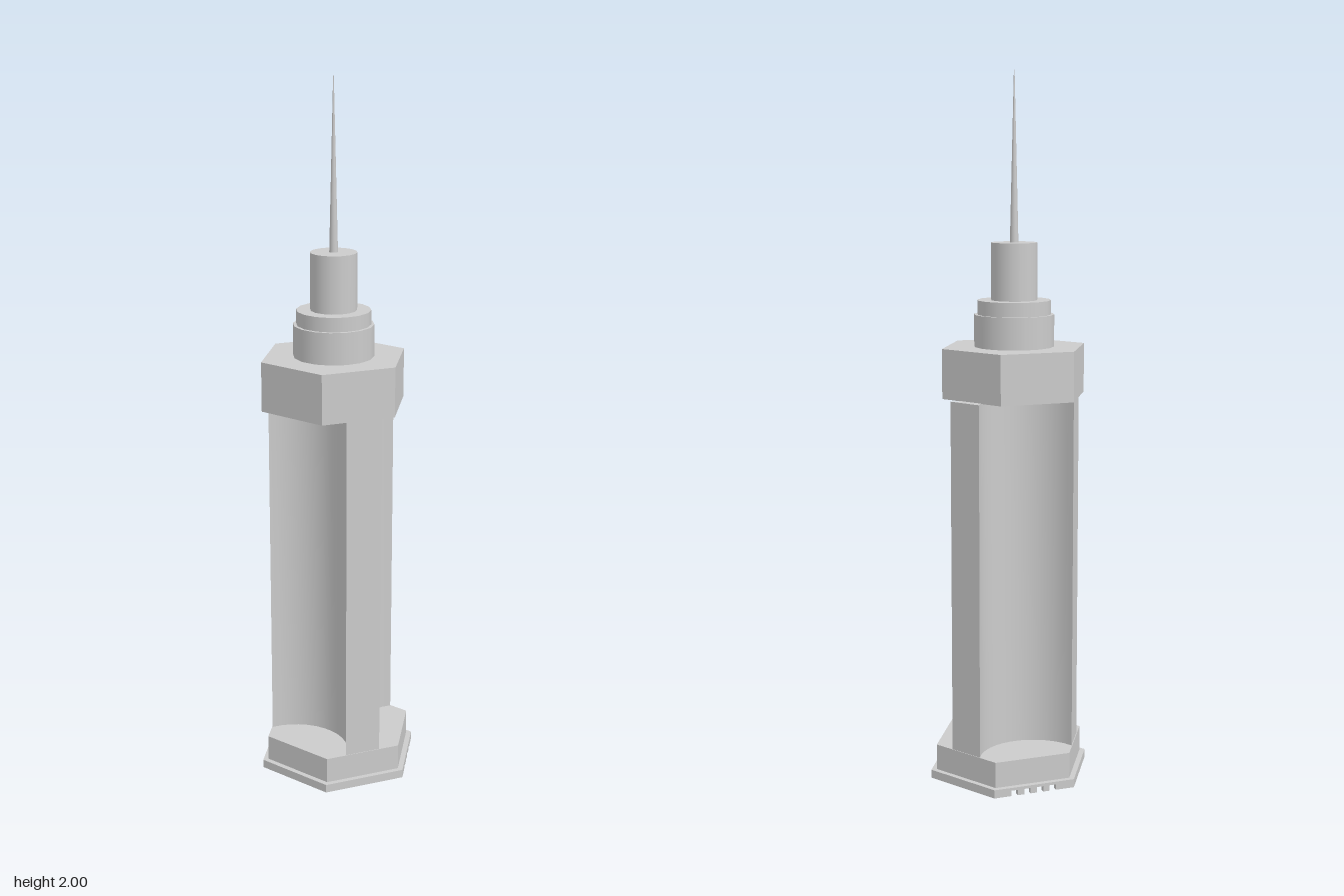
import * as THREE from 'three';
import { toCreasedNormals } from 'three/addons/utils/BufferGeometryUtils.js';

const material = new THREE.MeshStandardMaterial({ color: 0xcccccc });
const UPPER_Z = 0.021; // the crown sits slightly forward of the base

function add(parent, name, geometry, x = 0, y = 0, z = 0) {
  const mesh = new THREE.Mesh(geometry, material);
  mesh.name = name;
  mesh.position.set(x, y, z);
  parent.add(mesh);
  return mesh;
}

// Hexagon with corners on the x axis
function hexPoints(radius) {
  return Array.from({ length: 6 }, (_, i) => {
    const a = (i * Math.PI) / 3;
    return new THREE.Vector2(radius * Math.cos(a), radius * Math.sin(a));
  });
}

// Extrudes a plan shape (shape y = -z) upwards from y0 to y1
function raise(shape, y0, y1) {
  const g = new THREE.ExtrudeGeometry(shape, { depth: y1 - y0, bevelEnabled: false });
  g.rotateX(-Math.PI / 2);
  g.translate(0, y0, 0);
  return toCreasedNormals(g, 0.45);
}

function hexPrism(radius, y0, y1, holeRadius = 0) {
  const shape = new THREE.Shape(hexPoints(radius));
  if (holeRadius) shape.holes.push(new THREE.Path(hexPoints(holeRadius).reverse()));
  return raise(shape, y0, y1);
}

// Three-winged plan: a concave arc between each pair of flat wing ends
function shaftShape() {
  const half = 0.139, edge = 0.14, deep = 0.05, steps = 13;
  const sag = edge - deep;
  const r = (half * half + sag * sag) / (2 * sag);
  const sweep = Math.asin(half / r);
  const points = [];
  for (let k = 0; k < 3; k++) {
    for (let i = 0; i <= steps; i++) {
      const a = sweep * ((2 * i) / steps - 1);
      const p = new THREE.Vector2(r * Math.sin(a), -(deep + r - r * Math.cos(a)));
      points.push(p.rotateAround(new THREE.Vector2(), (k * 2 * Math.PI) / 3));
    }
  }
  return new THREE.Shape(points);
}

function drum(parent, name, radiusTop, radiusBottom, y0, y1, sides = 16) {
  const g = new THREE.CylinderGeometry(radiusTop, radiusBottom, y1 - y0, sides, 1, false, Math.PI / sides);
  add(parent, name, g, 0, (y0 + y1) / 2, UPPER_Z);
}

// Thin skirt under the base, slotted on the two rear diagonal sides
function buildSkirt(parent) {
  const R = 0.239, thick = 0.014, height = 0.017;
  const apothem = R * Math.cos(Math.PI / 6);
  const slots = [0.27, 0.43, 0.59, 0.75], slotWidth = 0.08;
  for (let i = 0; i < 6; i++) {
    const side = new THREE.Group();
    side.name = 'skirtSide';
    side.rotation.y = (i * Math.PI) / 3; // i = 0 faces the front
    const slotted = i === 2 || i === 4;
    const ends = [0];
    if (slotted) slots.forEach((s) => ends.push(s - slotWidth / 2, s + slotWidth / 2));
    ends.push(1);
    for (let j = 0; j < ends.length; j += 2) {
      let a = ends[j], b = ends[j + 1];
      if (i === 4) [a, b] = [1 - b, 1 - a]; // mirror left and right
      add(side, 'skirtBlock', new THREE.BoxGeometry((b - a) * R, height, thick),
        ((a + b) / 2 - 0.5) * R, height / 2, apothem - thick / 2);
    }
    parent.add(side);
  }
}

export function createModel() {
  const model = new THREE.Group();
  model.name = 'tower';

  // Hollow base: slotted skirt, rim, plinth walls, floor and inner ribs
  const base = new THREE.Group();
  base.name = 'base';
  model.add(base);
  buildSkirt(base);
  add(base, 'baseRim', hexPrism(0.239, 0.016, 0.024, 0.205));
  add(base, 'plinthWall', hexPrism(0.222, 0.024, 0.098, 0.207));
  add(base, 'plinthTop', hexPrism(0.2215, 0.088, 0.098));
  for (let i = 0; i < 3; i++) {
    const rib = add(base, 'innerRib', new THREE.BoxGeometry(0.012, 0.066, 0.19), 0, 0.055, 0);
    rib.rotation.y = Math.PI + (i * 2 * Math.PI) / 3;
    rib.translateZ(0.095);
  }

  // Main shaft with three concave faces
  add(model, 'shaft', raise(shaftShape(), 0.097, 1.101));

  // Hexagonal crown
  add(model, 'crown', hexPrism(0.213, 1.1, 1.24), 0, 0, UPPER_Z);

  // Round stages and mast
  drum(model, 'lowerDrum', 0.113, 0.113, 1.24, 1.33);
  drum(model, 'middleDrum', 0.104, 0.104, 1.33, 1.37);
  drum(model, 'upperDrum', 0.065, 0.065, 1.37, 1.53);
  drum(model, 'mast', 0.001, 0.012, 1.53, 2);

  return model;
}
